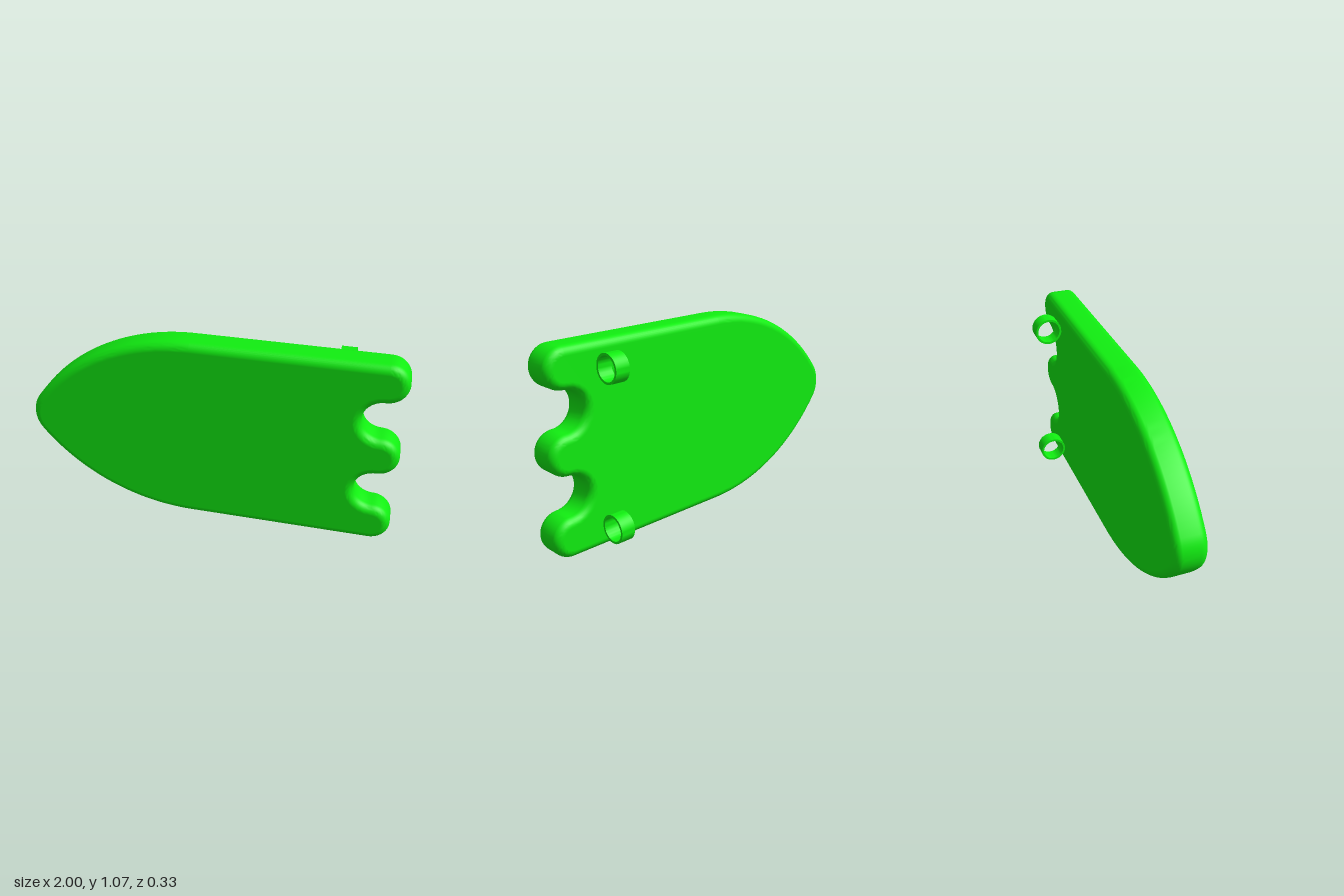
import * as THREE from 'three';
import { toCreasedNormals } from 'three/addons/utils/BufferGeometryUtils.js';

const BOARD = { height: 1.07, back: -0.01, depth: 0.175, bevel: 0.045 };

// Board outline, counter-clockwise, as a chain of tangent arcs
function boardOutline() {
  const points = [];
  const arc = (cx, cy, r, from, to, steps) => {
    for (let i = 0; i <= steps; i++) {
      const a = THREE.MathUtils.degToRad(from + ((to - from) * i) / steps);
      const p = new THREE.Vector2(cx + r * Math.cos(a), cy + r * Math.sin(a));
      const last = points[points.length - 1];
      if (!last || last.distanceTo(p) > 0.004) points.push(p);
    }
  };
  const mid = BOARD.height / 2;
  const bowR = 1.085, bowX = -0.1, tipR = 0.175, tipX = -1 + tipR;
  const join = THREE.MathUtils.radToDeg(Math.atan2(mid - (BOARD.height - bowR), tipX - bowX));

  // lower bow curve
  arc(bowX, bowR, bowR, 360 - join, 270, 28);
  // three rounded lobes with two round notches between them
  const r = BOARD.height / 10;
  for (let i = 0; i < 5; i++) {
    const y = r * (2 * i + 1);
    if (i % 2 === 0) arc(1 - r, y, r, -90, 90, 24);
    else arc(1 - r, y, r, 270, 90, 24);
  }
  // upper bow curve and rounded tip
  arc(bowX, BOARD.height - bowR, bowR, 90, join, 28);
  arc(tipX, mid, tipR, join, 360 - join, 14);
  // drop the closing point
  if (points[0].distanceTo(points[points.length - 1]) < 0.004) points.pop();
  return new THREE.Shape(points);
}

function boardGeometry() {
  const { depth, bevel, back } = BOARD;
  const extruded = new THREE.ExtrudeGeometry(boardOutline(), {
    depth: depth - 2 * bevel,
    bevelEnabled: true,
    bevelThickness: bevel,
    bevelSize: bevel,
    bevelOffset: -bevel,
    bevelSegments: 8,
  });
  const geometry = toCreasedNormals(extruded, 0.7);
  // keep both large faces perfectly flat in shading
  const pos = geometry.attributes.position, normal = geometry.attributes.normal;
  for (let i = 0; i < pos.count; i++) {
    const z = pos.getZ(i);
    if (z < -bevel + 1e-4) normal.setXYZ(i, 0, 0, -1);
    else if (z > depth - bevel - 1e-4) normal.setXYZ(i, 0, 0, 1);
  }
  return geometry.translate(0, 0, back + bevel);
}

// Short open tube with its axis along x
function ringGeometry(outer, inner, length) {
  const h = length / 2;
  const profile = [[inner, -h], [outer, -h], [outer, h], [inner, h], [inner, -h]]
    .map(([x, y]) => new THREE.Vector2(x, y));
  return toCreasedNormals(new THREE.LatheGeometry(profile, 48), 0.6).rotateZ(Math.PI / 2);
}

export function createModel() {
  const model = new THREE.Group();
  model.name = 'notchedBoard';
  const material = new THREE.MeshStandardMaterial({ color: 0x11ee11 });

  const board = new THREE.Mesh(boardGeometry(), material);
  board.name = 'board';
  model.add(board);

  // two ring loops on the back
  const ring = ringGeometry(0.076, 0.064, 0.08);
  for (const [name, y] of [['lowerRing', 0.123], ['upperRing', 0.947]]) {
    const mesh = new THREE.Mesh(ring, material);
    mesh.name = name;
    mesh.position.set(0.68, y, -0.085);
    model.add(mesh);
  }
  return model;
}
